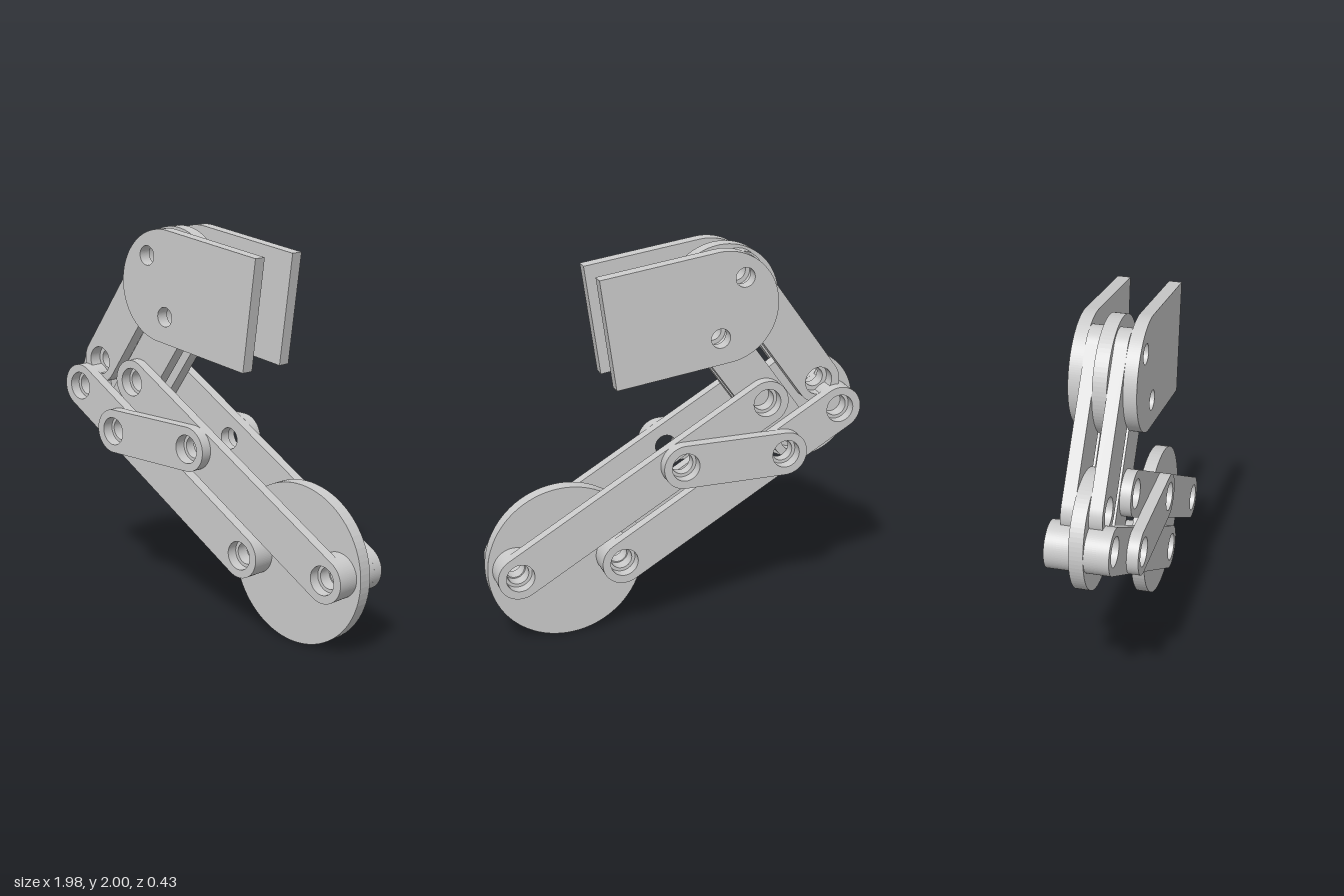
import * as THREE from 'three';

const material = new THREE.MeshStandardMaterial({ color: 0xcccccc });
const R = 0.115; // link end radius
const BORE = 0.073, MID = 0.056, HOLE = 0.05;

// joint positions [x, y]
const hipA = [-0.33, 1.86], hipB = [-0.205, 1.56];
const kneeA = [-0.77, 1.25], kneeB = [-0.64, 0.957];
const shinA = [-0.87, 1.105], shinB = [-0.465, 1.185];
const ankleA = [0.303, 0.415], ankleB = [0.847, 0.415];
const crossA = [-0.55, 0.918], crossB = [-0.008, 0.918];

export function createModel() {
  const model = new THREE.Group();

  // plate cut from a shape, spanning z0..z1; holes are [point, radius]
  function plate(name, shape, z0, z1, holes = []) {
    for (const [[x, y], r] of holes) {
      shape.holes.push(new THREE.Path().absarc(x, y, r, 0, Math.PI * 2, true));
    }
    const geometry = new THREE.ExtrudeGeometry(shape, { depth: z1 - z0, bevelEnabled: false, curveSegments: 40 });
    geometry.translate(0, 0, z0);
    const mesh = new THREE.Mesh(geometry, material);
    mesh.name = name;
    model.add(mesh);
  }

  // the same plate on the front and the back
  function pair(name, makeShape, z0, z1, holes) {
    plate(name + 'Front', makeShape(), z0, z1, holes);
    plate(name + 'Back', makeShape(), -z1, -z0, holes);
  }

  const disc = ([x, y], r) => new THREE.Shape().absarc(x, y, r, 0, Math.PI * 2, false);

  // bar with round ends between two joints
  function bar([ax, ay], [bx, by]) {
    const a = Math.atan2(by - ay, bx - ax), q = Math.PI / 2;
    const s = new THREE.Shape();
    s.absarc(bx, by, R, a - q, a + q, false);
    s.absarc(ax, ay, R, a + q, a + 3 * q, false);
    s.closePath();
    return s;
  }

  // body bracket: rounded at one end, square at the other
  function bracketShape() {
    const tilt = Math.atan2(-0.08, 0.565), q = Math.PI / 2;
    const s = new THREE.Shape();
    s.absarc(-0.223, 1.714, 0.286, tilt + q, tilt + 3 * q, false);
    s.lineTo(0.335, 1.35);
    s.lineTo(0.414, 1.915);
    s.closePath();
    return s;
  }
  pair('bracket', bracketShape, 0.1, 0.165, [[hipA, HOLE], [hipB, HOLE]]);

  // central discs of the hip, knee and foot
  plate('hipDisc', disc([-0.27, 1.71], 0.29), -0.035, 0.035, [[hipA, HOLE], [hipB, HOLE]]);
  plate('kneeDisc', disc([-0.7, 1.107], 0.29), -0.035, 0.035, [[kneeA, HOLE], [kneeB, HOLE]]);
  plate('footDisc', disc([0.577, 0.41], 0.41), -0.035, 0.035, [[ankleA, HOLE], [ankleB, HOLE]]);

  // thigh links
  pair('rearThighLink', () => bar(hipA, kneeA), 0.035, 0.1, [[hipA, BORE], [kneeA, BORE]]);
  pair('frontThighLink', () => bar(hipB, kneeB), 0.035, 0.1, [[hipB, BORE], [kneeB, BORE], [shinB, MID]]);

  // shin links
  pair('lowerShinLink', () => bar(shinA, ankleA), 0.1, 0.155, [[shinA, BORE], [crossA, MID], [ankleA, BORE]]);
  pair('upperShinLink', () => bar(shinB, ankleB), 0.1, 0.155, [[shinB, BORE], [crossB, MID], [ankleB, BORE]]);

  // outer cross link joining the shin links
  pair('crossLink', () => bar(crossA, crossB), 0.155, 0.213, [[crossA, BORE], [crossB, BORE]]);

  // spacers between the shin links and the discs
  for (const [name, p] of [['knee', shinA], ['innerAnkle', ankleA], ['outerAnkle', ankleB]]) {
    pair(name + 'Spacer', () => disc(p, R), 0.035, 0.1, [[p, MID]]);
  }

  return model;
}
